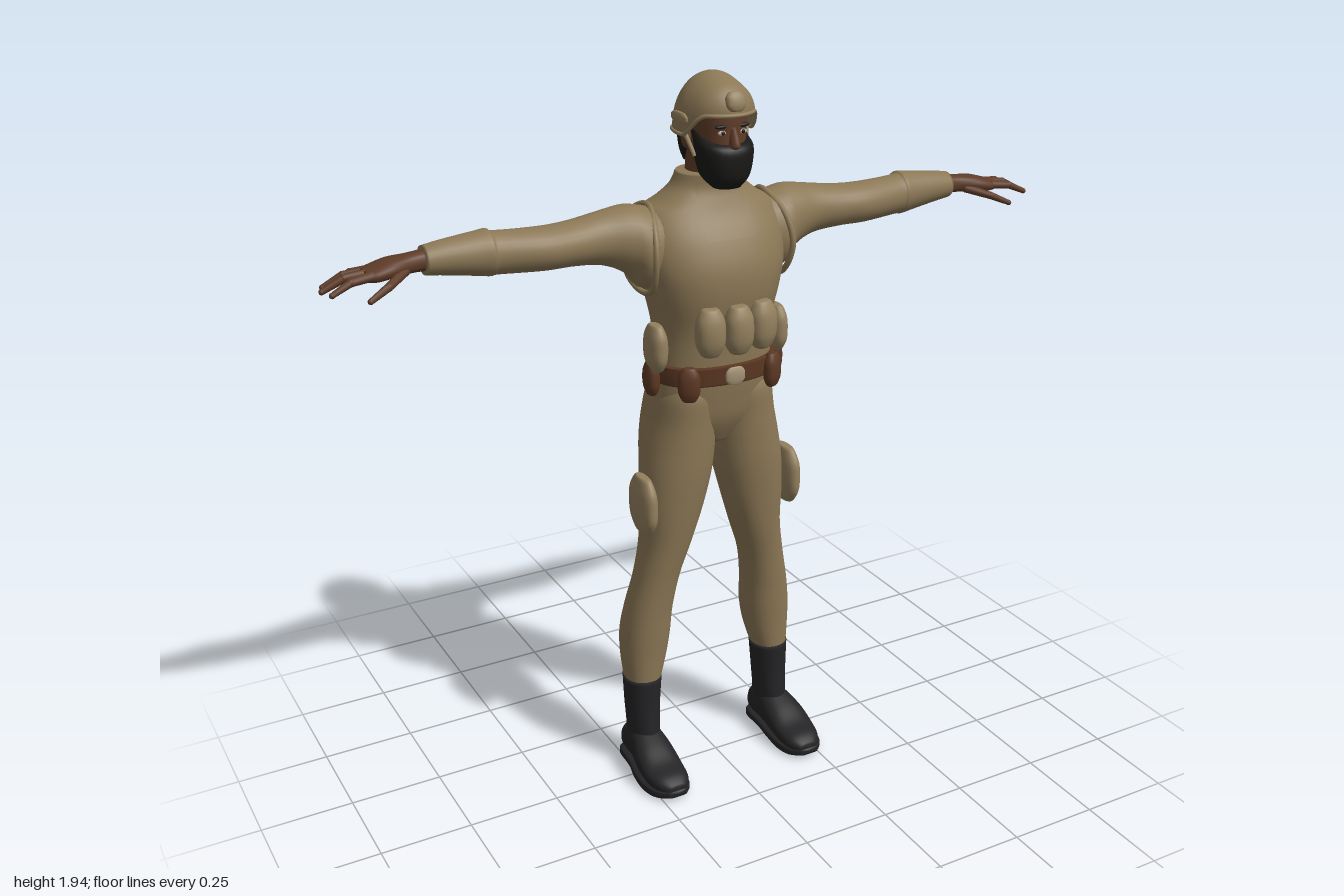
import * as THREE from 'three';

const flat = (name, color, side = THREE.FrontSide) => {
  const m = new THREE.MeshStandardMaterial({ color, side });
  m.name = name;
  return m;
};

// Catmull-Rom smoothing of cross-section rows [t, aMin, aMax, bMin, bMax]
function smooth(rows, steps = 5) {
  const out = [];
  for (let i = 0; i < rows.length - 1; i++) {
    const p0 = rows[Math.max(i - 1, 0)], p1 = rows[i], p2 = rows[i + 1], p3 = rows[Math.min(i + 2, rows.length - 1)];
    for (let k = 0; k < steps; k++) {
      const t = k / steps;
      out.push(p1.map((v, c) => 0.5 * (2 * v + (p2[c] - p0[c]) * t +
        (2 * p0[c] - 5 * v + 4 * p2[c] - p3[c]) * t * t + (3 * v - p0[c] - 3 * p2[c] + p3[c]) * t * t * t)));
    }
  }
  out.push(rows[rows.length - 1]);
  return out;
}

// Closed solid through superellipse sections along an axis, rows in ascending order
function loft(axis, rows, p = 2, seg = 28) {
  const dense = smooth(rows), pos = [], idx = [];
  const put = (t, a, b) => pos.push(...(axis === 'x' ? [t, a, b] : axis === 'y' ? [a, t, b] : [a, b, t]));
  const tri = (a, b, c) => (axis === 'y' ? idx.push(a, c, b) : idx.push(a, b, c));
  const power = (v) => Math.sign(v) * Math.abs(v) ** (2 / p);
  for (const [t, a0, a1, b0, b1] of dense)
    for (let j = 0; j < seg; j++) {
      const th = (j / seg) * Math.PI * 2;
      put(t, (a0 + a1) / 2 + ((a1 - a0) / 2) * power(Math.cos(th)), (b0 + b1) / 2 + ((b1 - b0) / 2) * power(Math.sin(th)));
    }
  for (let i = 0; i < dense.length - 1; i++)
    for (let j = 0; j < seg; j++) {
      const a = i * seg + j, b = i * seg + ((j + 1) % seg);
      tri(a, b, b + seg);
      tri(a, b + seg, a + seg);
    }
  [0, dense.length - 1].forEach((r, end) => {
    const [t, a0, a1, b0, b1] = dense[r], c = pos.length / 3;
    put(t, (a0 + a1) / 2, (b0 + b1) / 2);
    for (let j = 0; j < seg; j++) {
      const a = r * seg + j, b = r * seg + ((j + 1) % seg);
      end ? tri(c, a, b) : tri(c, b, a);
    }
  });
  const g = new THREE.BufferGeometry();
  g.setAttribute('position', new THREE.Float32BufferAttribute(pos, 3));
  g.setIndex(idx);
  g.computeVertexNormals();
  return g;
}

// Padded pouch, half sizes w, h, d
const pouch = (w, h, d) => loft('y', [[-1, 0.45, 0.4], [-0.9, 0.65, 0.6], [-0.5, 0.95, 0.9], [0, 1, 1], [0.5, 0.95, 0.9], [0.9, 0.65, 0.6], [1, 0.45, 0.4]]
  .map(([y, a, b]) => [y * h, -a * w, a * w, -b * d, b * d]), 2.3, 20);

// Tapered rod between two points
function rod(a, b, r0, r1) {
  const va = new THREE.Vector3(...a), dir = new THREE.Vector3(...b).sub(va);
  const g = new THREE.CylinderGeometry(r1, r0, dir.length(), 10);
  g.translate(0, dir.length() / 2, 0);
  g.applyQuaternion(new THREE.Quaternion().setFromUnitVectors(new THREE.Vector3(0, 1, 0), dir.normalize()));
  return g.translate(...a);
}
const ball = (x, y, z, rx, ry = rx, rz = rx) => new THREE.SphereGeometry(1, 16, 12).scale(rx, ry, rz).translate(x, y, z);
const loop = (pts, r) => new THREE.TubeGeometry(new THREE.CatmullRomCurve3(pts, true), 64, r, 8, true);

const torsoRows = [
  [0.98, 0.05, -0.1, 0.03], [1.05, 0.16, -0.14, 0.065], [1.12, 0.167, -0.15, 0.08], [1.2, 0.16, -0.14, 0.09],
  [1.3, 0.159, -0.145, 0.097], [1.4, 0.18, -0.16, 0.113], [1.47, 0.195, -0.17, 0.11], [1.54, 0.2, -0.17, 0.085],
  [1.6, 0.18, -0.155, 0.05], [1.63, 0.135, -0.135, 0.036], [1.66, 0.1, -0.115, 0.025], [1.695, 0.083, -0.105, 0.028],
].map(([y, x, b, f]) => [y, -x, x, b, f]);
const torsoDense = smooth(torsoRows);

// Depth of the torso surface at x, y on the front (1) or back (-1)
function torsoZ(x, y, side) {
  const i = Math.max(1, torsoDense.findIndex((r) => r[0] >= y)), A = torsoDense[i - 1], B = torsoDense[i];
  const [, , rx, z0, z1] = A.map((v, c) => v + ((B[c] - v) * (y - A[0])) / (B[0] - A[0]));
  return (z0 + z1) / 2 + (side * (z1 - z0) / 2) * Math.max(0, 1 - (Math.abs(x) / rx) ** 2.3) ** (1 / 2.3);
}

export function createModel() {
  const model = new THREE.Group();
  model.name = 'soldier';
  const cloth = flat('tan cloth', 0x8c7856), gear = flat('tan gear', 0x93805e), shell = flat('helmet tan', 0x8c7856, THREE.DoubleSide);
  const skin = flat('brown skin', 0x5f3c28), leather = flat('brown leather', 0x5c3823), boot = flat('black boot', 0x242426);
  const dark = flat('black hair', 0x191817), white = flat('eye white', 0xb5aca0), metal = flat('buckle', 0xa39274);
  const add = (name, geo, mat) => {
    const m = new THREE.Mesh(geo, mat);
    m.name = name;
    model.add(m);
  };
  const pair = (name, geo, mat) => {
    const other = geo.clone().scale(-1, 1, 1), ix = other.index.array;
    for (let i = 0; i < ix.length; i += 3) [ix[i], ix[i + 1]] = [ix[i + 1], ix[i]];
    add(name + 'Left', geo, mat);
    add(name + 'Right', other, mat);
  };

  // Torso with collar panels front and back
  add('torso', loft('y', torsoRows, 2.3, 40), cloth);
  for (const side of [1, -1]) {
    const g = new THREE.PlaneGeometry(0.136, 0.145, 12, 12);
    if (side < 0) g.rotateY(Math.PI);
    g.translate(0, 1.615, 0);
    const p = g.attributes.position;
    for (let i = 0; i < p.count; i++) p.setZ(i, torsoZ(p.getX(i), p.getY(i), side) + side * 0.006);
    g.computeVertexNormals();
    add(side > 0 ? 'frontCollarPanel' : 'backCollarPanel', g, shell);
  }

  // Sleeves and armhole edges
  pair('sleeve', loft('x', [
    [0.1, 1.43, 1.6, -0.12, 0.03], [0.19, 1.41, 1.622, -0.138, 0.045], [0.235, 1.455, 1.627, -0.13, 0.03],
    [0.3, 1.485, 1.618, -0.115, 0.014], [0.38, 1.495, 1.607, -0.107, 0.016], [0.46, 1.497, 1.605, -0.1, 0.02],
    [0.57, 1.502, 1.608, -0.1, 0.003], [0.59, 1.5, 1.615, -0.106, 0.004], [0.62, 1.505, 1.612, -0.103, 0],
    [0.7, 1.518, 1.603, -0.095, -0.01], [0.75, 1.525, 1.595, -0.09, -0.016]]), cloth);
  pair('armholeEdge', loop([[1.62, -0.05, 0.165], [1.57, 0.03, 0.185], [1.5, 0.055, 0.195], [1.42, 0.02, 0.19],
    [1.4, -0.05, 0.188], [1.43, -0.125, 0.19], [1.52, -0.145, 0.192], [1.59, -0.12, 0.18]]
    .map(([y, z, x]) => new THREE.Vector3(x, y, z)), 0.008), cloth);

  // Hands
  pair('palm', loft('x', [[0.73, 1.535, 1.588, -0.082, -0.025], [0.78, 1.536, 1.583, -0.08, -0.024],
    [0.83, 1.533, 1.578, -0.092, -0.008], [0.87, 1.53, 1.568, -0.092, -0.005], [0.895, 1.533, 1.56, -0.085, -0.012]], 2.4, 20), skin);
  const fingers = [
    [[0.86, 1.548, -0.083], [0.91, 1.542, -0.1], [0.945, 1.525, -0.11]],
    [[0.88, 1.55, -0.064], [0.935, 1.546, -0.074], [0.982, 1.522, -0.08]],
    [[0.88, 1.552, -0.043], [0.94, 1.547, -0.046], [0.993, 1.522, -0.047]],
    [[0.88, 1.55, -0.02], [0.935, 1.545, -0.01], [0.982, 1.524, -0.002]],
    [[0.8, 1.548, -0.03], [0.855, 1.53, 0.015], [0.905, 1.508, 0.033]]];
  for (const [a, b, c] of fingers) {
    pair('fingerBase', rod(a, b, 0.012, 0.01), skin);
    pair('fingerKnuckle', ball(...b, 0.0102), skin);
    pair('fingerEnd', rod(b, c, 0.01, 0.007), skin);
    pair('fingertip', ball(...c, 0.0072), skin);
  }

  // Trousers
  pair('trouserLeg', loft('y', [
    [0.27, 0.155, 0.253, -0.112, -0.002], [0.35, 0.133, 0.259, -0.13, 0.003], [0.42, 0.122, 0.258, -0.135, 0.009],
    [0.5, 0.117, 0.246, -0.122, 0.015], [0.6, 0.1, 0.224, -0.106, 0.026], [0.7, 0.068, 0.208, -0.108, 0.042],
    [0.8, 0.037, 0.208, -0.11, 0.056], [0.9, 0.012, 0.203, -0.125, 0.067], [0.98, 0, 0.192, -0.152, 0.071],
    [1.05, -0.002, 0.178, -0.163, 0.073], [1.12, 0, 0.166, -0.15, 0.075], [1.16, 0.02, 0.15, -0.12, 0.06]], 2.15, 32), cloth);

  // Boots
  pair('bootShaft', loft('y', [[0.05, 0.165, 0.25, -0.112, 0.01], [0.12, 0.163, 0.25, -0.112, 0.008],
    [0.2, 0.157, 0.254, -0.115, 0.002], [0.282, 0.15, 0.257, -0.118, 0.003]]), boot);
  pair('bootFoot', loft('z', [[-0.117, 0.18, 0.24, 0.025, 0.08], [-0.1, 0.165, 0.252, 0.015, 0.11], [-0.03, 0.16, 0.258, 0.015, 0.125],
    [0.03, 0.155, 0.27, 0.015, 0.105], [0.09, 0.155, 0.272, 0.012, 0.075], [0.14, 0.163, 0.26, 0.012, 0.062], [0.17, 0.185, 0.235, 0.02, 0.045]], 2.4), boot);
  pair('bootSole', loft('z', [[-0.121, 0.175, 0.245, 0, 0.026], [-0.1, 0.16, 0.258, 0, 0.028], [-0.03, 0.157, 0.264, 0.004, 0.028],
    [0.03, 0.151, 0.277, 0.004, 0.028], [0.09, 0.15, 0.279, 0, 0.028], [0.14, 0.16, 0.266, 0.004, 0.03], [0.174, 0.185, 0.238, 0.014, 0.032]], 5), boot);

  // Belt, buckle and belt pouches
  add('belt', loft('y', [[1.165, -0.172, 0.172, -0.155, 0.1], [1.19, -0.174, 0.174, -0.157, 0.102], [1.215, -0.172, 0.172, -0.155, 0.104]], 2.3, 40), leather);
  add('buckle', pouch(0.028, 0.024, 0.008).translate(0, 1.188, 0.104), metal);
  for (const [x, z, turn] of [[0.122, 0.082, 0.5], [0.182, -0.012, 1.57], [0.085, -0.143, 2.9]])
    pair('beltPouch', pouch(0.029, 0.046, 0.02).rotateY(turn).translate(x, 1.177, z), leather);

  // Cloth pouches on belly, sides and thighs
  for (const x of [-0.075, 0, 0.075])
    add('bellyPouch', pouch(0.039, 0.063, 0.034).rotateY(x * 3).translate(x, 1.317, x ? 0.108 : 0.12), gear);
  pair('sidePouch', pouch(0.045, 0.062, 0.026).rotateY(Math.PI / 2).translate(0.176, 1.263, 0.004), gear);
  pair('thighPouch', pouch(0.064, 0.08, 0.026).rotateY(Math.PI / 2).translate(0.217, 0.832, 0), gear);

  // Head, hair and beard
  add('neck', loft('y', [[1.6, -0.065, 0.065, -0.1, 0.02], [1.69, -0.058, 0.058, -0.098, 0.015], [1.77, -0.056, 0.056, -0.098, 0.03]]), skin);
  add('head', loft('y', [[1.685, -0.03, 0.03, 0, 0.075], [1.71, -0.05, 0.05, -0.04, 0.088], [1.75, -0.062, 0.062, -0.09, 0.092],
    [1.8, -0.068, 0.068, -0.102, 0.09], [1.86, -0.068, 0.068, -0.1, 0.088], [1.9, -0.05, 0.05, -0.07, 0.06]], 2.2), skin);
  add('hair', loft('y', [[1.715, -0.05, 0.05, -0.1, -0.045], [1.75, -0.064, 0.064, -0.106, -0.03], [1.8, -0.071, 0.071, -0.109, -0.01],
    [1.86, -0.07, 0.07, -0.106, 0]], 2.3), dark);
  add('beard', loft('y', [[1.668, -0.035, 0.035, 0.02, 0.085], [1.695, -0.058, 0.058, -0.015, 0.104], [1.735, -0.07, 0.07, -0.025, 0.109],
    [1.768, -0.072, 0.072, -0.025, 0.104], [1.785, -0.071, 0.071, -0.025, 0.075], [1.81, -0.07, 0.07, -0.025, 0.03]], 2.3), dark);
  add('nose', loft('y', [[1.768, -0.012, 0.012, 0.07, 0.104], [1.778, -0.014, 0.014, 0.07, 0.112], [1.82, -0.007, 0.007, 0.07, 0.094]], 2, 12), skin);
  pair('ear', ball(0.07, 1.785, -0.022, 0.013, 0.03, 0.02), skin);
  pair('eye', ball(0.028, 1.807, 0.083, 0.012, 0.006, 0.005), white);
  pair('pupil', ball(0.028, 1.807, 0.087, 0.005, 0.005, 0.003), dark);
  pair('eyebrow', ball(0.03, 1.822, 0.083, 0.018, 0.005, 0.006), dark);

  // Helmet dome with a rim that rises over the face
  const rimY = (z) => 1.797 + 0.053 * THREE.MathUtils.smoothstep(z, 0.15, 0.75);
  const dome = new THREE.SphereGeometry(1, 40, 16, 0, Math.PI * 2, 0, Math.PI / 2);
  const d = dome.attributes.position;
  for (let i = 0; i < d.count; i++) {
    const x = d.getX(i), y = Math.max(0, d.getY(i)), z = d.getZ(i), rim = rimY(z);
    d.setXYZ(i, x * 0.097, rim + (1.94 - rim) * y ** 0.95, -0.012 + z * 0.117);
  }
  dome.computeVertexNormals();
  add('helmet', dome, shell);
  add('helmetRim', loop(Array.from({ length: 32 }, (_, i) => {
    const a = (i / 32) * Math.PI * 2, z = Math.cos(a);
    return new THREE.Vector3(Math.sin(a) * 0.097, rimY(z), -0.012 + z * 0.117);
  }), 0.005), gear);
  add('helmetMount', pouch(0.026, 0.024, 0.014).rotateX(-0.3).translate(0, 1.883, 0.098), gear);
  pair('helmetRail', pouch(0.04, 0.014, 0.008).rotateY(Math.PI / 2).translate(0.094, 1.835, -0.012), gear);
  pair('chinStrap', rod([0.086, 1.8, 0], [0.072, 1.745, 0.025], 0.006, 0.005), gear);
  return model;
}
